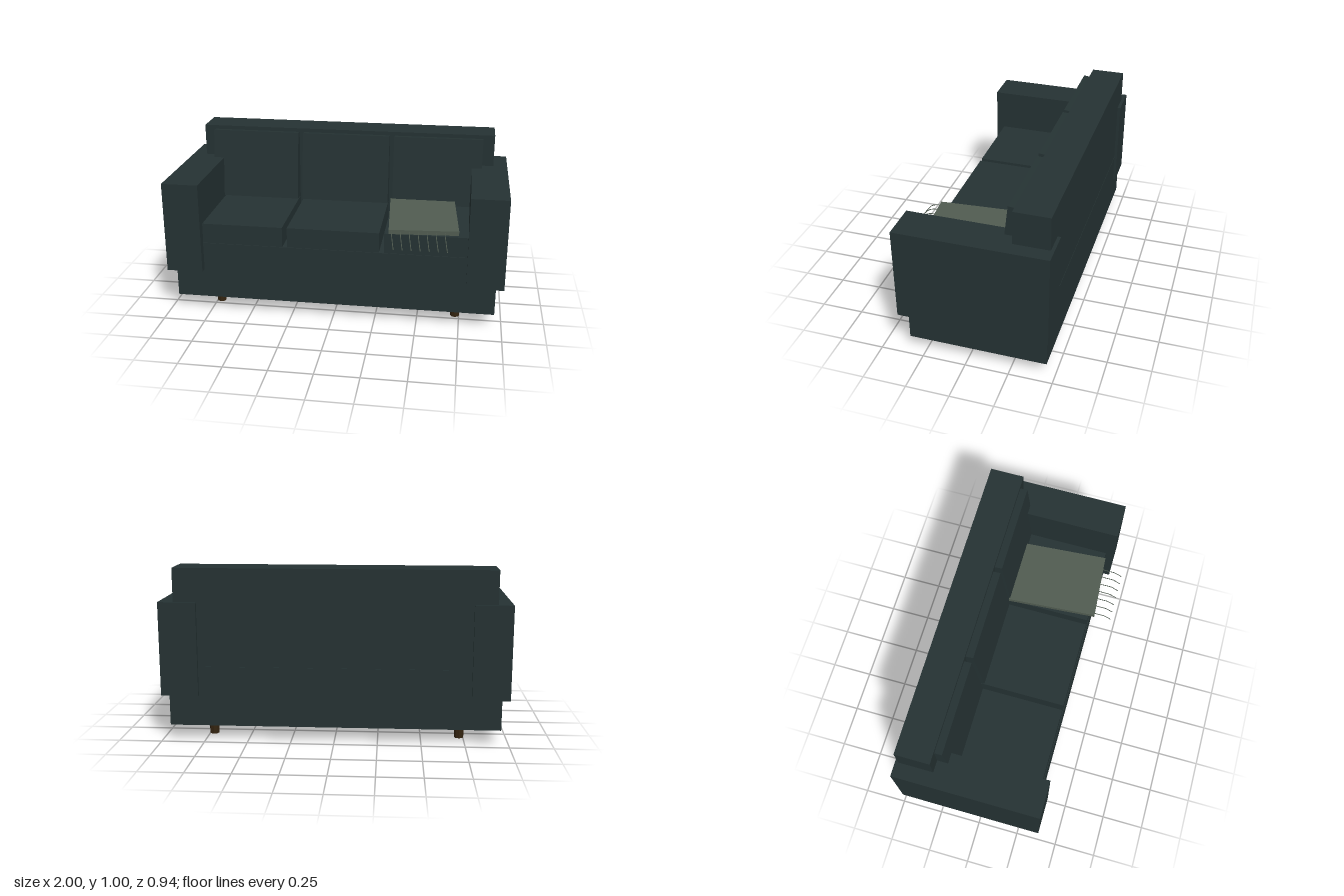
import * as THREE from 'three';

const material = (name, color) => {
  const m = new THREE.MeshStandardMaterial({ color });
  m.name = name;
  return m;
};

export function createModel() {
  const sofa = new THREE.Group();
  sofa.name = 'sofa';
  const upholstery = material('dark upholstery', 0x253233);
  const wood = material('brown wood', 0x342410);
  const wool = material('sage wool', 0x515c51);

  const add = (name, geometry, mat, parent = sofa) => {
    const mesh = new THREE.Mesh(geometry, mat);
    mesh.name = name;
    parent.add(mesh);
    return mesh;
  };

  // Box given by its lower and upper corners
  const block = (name, [x0, y0, z0], [x1, y1, z1], mat = upholstery) => {
    const mesh = add(name, new THREE.BoxGeometry(x1 - x0, y1 - y0, z1 - z0), mat);
    mesh.position.set((x0 + x1) / 2, (y0 + y1) / 2, (z0 + z1) / 2);
    return mesh;
  };

  // Frame
  block('base', [-0.955, 0.087, -0.455], [0.955, 0.437, 0.34]);
  block('backrest', [-0.915, 0.437, -0.453], [0.915, 1.005, -0.25]);
  block('rightArm', [-1, 0.266, -0.472], [-0.783, 0.812, 0.385]);
  block('leftArm', [0.783, 0.266, -0.472], [1, 0.812, 0.385]);

  // Seat cushions and leaning back cushions
  const tilt = -0.113;
  for (const i of [-1, 0, 1]) {
    const x = i * 0.573;
    block('seatCushion', [x - 0.272, 0.437, -0.25], [x + 0.272, 0.558, 0.335]);
    const geometry = new THREE.BoxGeometry(0.544, 0.422, 0.11);
    geometry.translate(0, -0.211, -0.055); // pivot on the top front edge
    const back = add('backCushion', geometry, upholstery);
    back.position.set(x, 0.987, -0.206);
    back.rotation.x = tilt;
  }

  // Legs
  for (const x of [-0.726, 0.726]) {
    for (const z of [0.203, -0.317]) {
      const leg = add('leg', new THREE.CylinderGeometry(0.0275, 0.0275, 0.09, 8).toNonIndexed(), wood);
      leg.geometry.computeVertexNormals();
      leg.position.set(x, 0.045, z);
    }
  }

  // Throw blanket, turned slightly on the seat
  const blanket = new THREE.Group();
  blanket.name = 'blanket';
  blanket.position.set(0.509, 0.585, 0.088);
  blanket.rotation.y = 0.073;
  sofa.add(blanket);
  add('throw', new THREE.BoxGeometry(0.4, 0.026, 0.54), wool, blanket);

  // Fringe strands hanging from the front edge
  for (let i = 0; i < 7; i++) {
    const x = 0.348 + i * 0.0505;
    const curve = new THREE.CatmullRomCurve3([
      new THREE.Vector3(x, 0.586, 0.35),
      new THREE.Vector3(x, 0.584, 0.39),
      new THREE.Vector3(x + 0.004, 0.575, 0.422),
      new THREE.Vector3(x + 0.01, 0.55, 0.446),
      new THREE.Vector3(x + 0.018, 0.516, 0.47),
    ]);
    add('fringe', new THREE.TubeGeometry(curve, 16, 0.0025, 6), wool);
  }
  return sofa;
}
